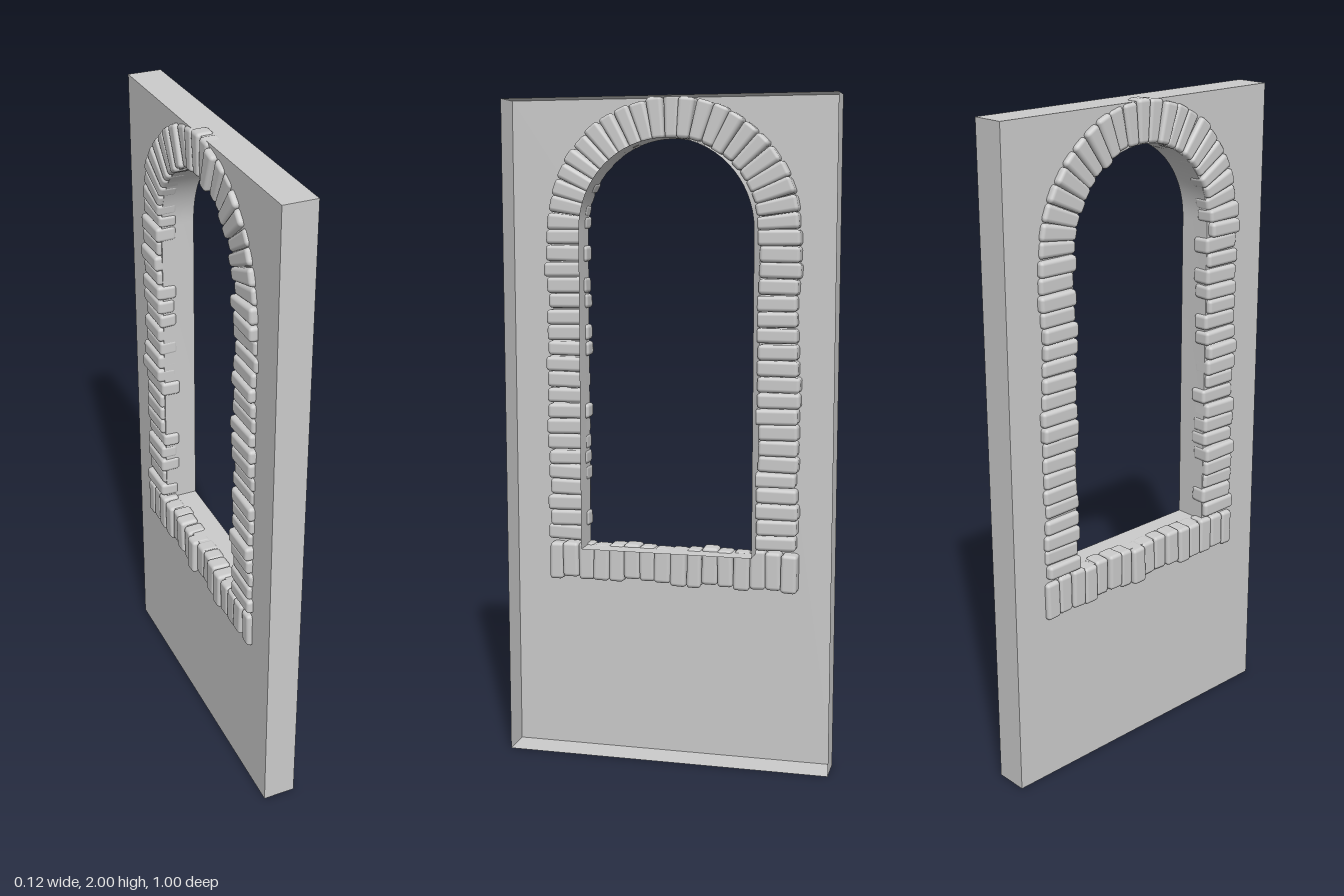
import * as THREE from 'three';
import { RoundedBoxGeometry } from 'three/addons/geometries/RoundedBoxGeometry.js';
import { toCreasedNormals } from 'three/addons/utils/BufferGeometryUtils.js';

const H = 1.99, HALF = 0.4975;           // wall panel
const XB = -0.04, XF = 0.06;             // closed face and open face of the panel
const R = 0.262, SPRING = 1.61, SILL = 0.65; // arched opening

export function createModel() {
  const model = new THREE.Group();
  model.name = 'archedWindowWall';
  const stoneMat = new THREE.MeshStandardMaterial({ color: 0xcccccc });
  const wallMat = new THREE.MeshStandardMaterial({ color: 0xcccccc, side: THREE.DoubleSide });

  let seed = 7;
  const rand = (a) => {                  // seeded value in -a..a
    seed = (seed * 16807) % 2147483647;
    return (seed / 2147483647 * 2 - 1) * a;
  };
  const add = (parent, geo, mat, name) => {
    const m = new THREE.Mesh(geo, mat);
    m.name = name;
    parent.add(m);
    return m;
  };

  // Outlines in (z, y)
  const outer = [[-HALF, 0], [HALF, 0], [HALF, H], [-HALF, H]].map(p => new THREE.Vector2(...p));
  const hole = [new THREE.Vector2(-R, SILL), new THREE.Vector2(R, SILL)];
  for (let i = 0; i <= 32; i++) {
    const a = Math.PI * i / 32;
    hole.push(new THREE.Vector2(R * Math.cos(a), SPRING + R * Math.sin(a)));
  }

  // Ribbon running through the wall depth along a closed outline
  const ribbon = (pts, flip) => {
    const v = [];
    pts.forEach((p, i) => {
      const q = pts[(i + 1) % pts.length];
      const a = [XB, p.y, p.x], b = [XF, p.y, p.x], c = [XF, q.y, q.x], d = [XB, q.y, q.x];
      v.push(...(flip ? [a, b, c, a, c, d] : [a, c, b, a, d, c]).flat());
    });
    const g = new THREE.BufferGeometry();
    g.setAttribute('position', new THREE.Float32BufferAttribute(v, 3));
    g.computeVertexNormals();
    return toCreasedNormals(g, 0.6);
  };

  // Wall: a shallow tray, open on +x, with a lined arched opening
  const wall = new THREE.Group();
  wall.name = 'wall';
  model.add(wall);
  const shape = new THREE.Shape(outer);
  shape.holes.push(new THREE.Path(hole));
  const face = new THREE.ShapeGeometry(shape);
  face.rotateY(-Math.PI / 2).translate(XB, 0, 0);
  add(wall, face, wallMat, 'wallFace');
  add(wall, ribbon(outer, true), wallMat, 'wallEdges');
  add(wall, ribbon(hole, false), wallMat, 'openingReveal');

  // One worn stone: y is its length, z its thickness; taper widens it towards +y
  const stone = (parent, name, len, thick, y, z, angle, taper = 0) => {
    const depth = 0.058 + rand(0.006);
    const g = new RoundedBoxGeometry(depth, len, thick, 2, Math.min(0.011, thick * 0.3));
    const p = g.attributes.position, skew = rand(0.04), bow = rand(0.003), lean = rand(0.05);
    for (let i = 0; i < p.count; i++) {
      const px = p.getX(i), py = p.getY(i), pz = p.getZ(i);
      const t = py / len;
      p.setXYZ(i, px + lean * py * 0.5, py + skew * pz,
        pz * (1 + taper * t) + bow * Math.cos(t * Math.PI) + lean * px);
    }
    const m = add(parent, g, stoneMat, name);
    m.position.set(-0.026 + rand(0.006), y, z);
    m.rotation.x = angle + rand(0.025);
  };
  const group = (name) => {
    const g = new THREE.Group();
    g.name = name;
    model.add(g);
    return g;
  };

  // Arch stones fanned around the spring line
  const arch = group('archStones'), N = 23, MID = 0.322;
  for (let i = 0; i < N; i++) {
    const a = ((i + 0.5) / N - 0.5) * Math.PI;
    const r = MID + rand(0.003);
    stone(arch, 'archStone', 0.122 + rand(0.004), Math.PI * MID / N - 0.001 + rand(0.002),
      SPRING + r * Math.cos(a), r * Math.sin(a), a, 0.34);
  }

  // Jamb stones stacked on both sides
  for (const s of [1, -1]) {
    const jamb = group(s > 0 ? 'frontJambStones' : 'backJambStones');
    const n = 20, step = (SPRING - 0.66) / n;
    for (let i = 0; i < n; i++) {
      stone(jamb, 'jambStone', 0.123 + rand(0.008), step - 0.002 + rand(0.003),
        0.66 + (i + 0.5) * step, s * (0.322 + rand(0.006)), s * Math.PI / 2);
    }
  }

  // Upright sill stones in a row
  const sill = group('sillStones'), n = 16, step = 0.776 / n;
  for (let i = 0; i < n; i++) {
    stone(sill, 'sillStone', 0.115 + rand(0.007), step - 0.001 + rand(0.004),
      0.598 + rand(0.006), -0.388 + (i + 0.5) * step, 0);
  }
  return model;
}
